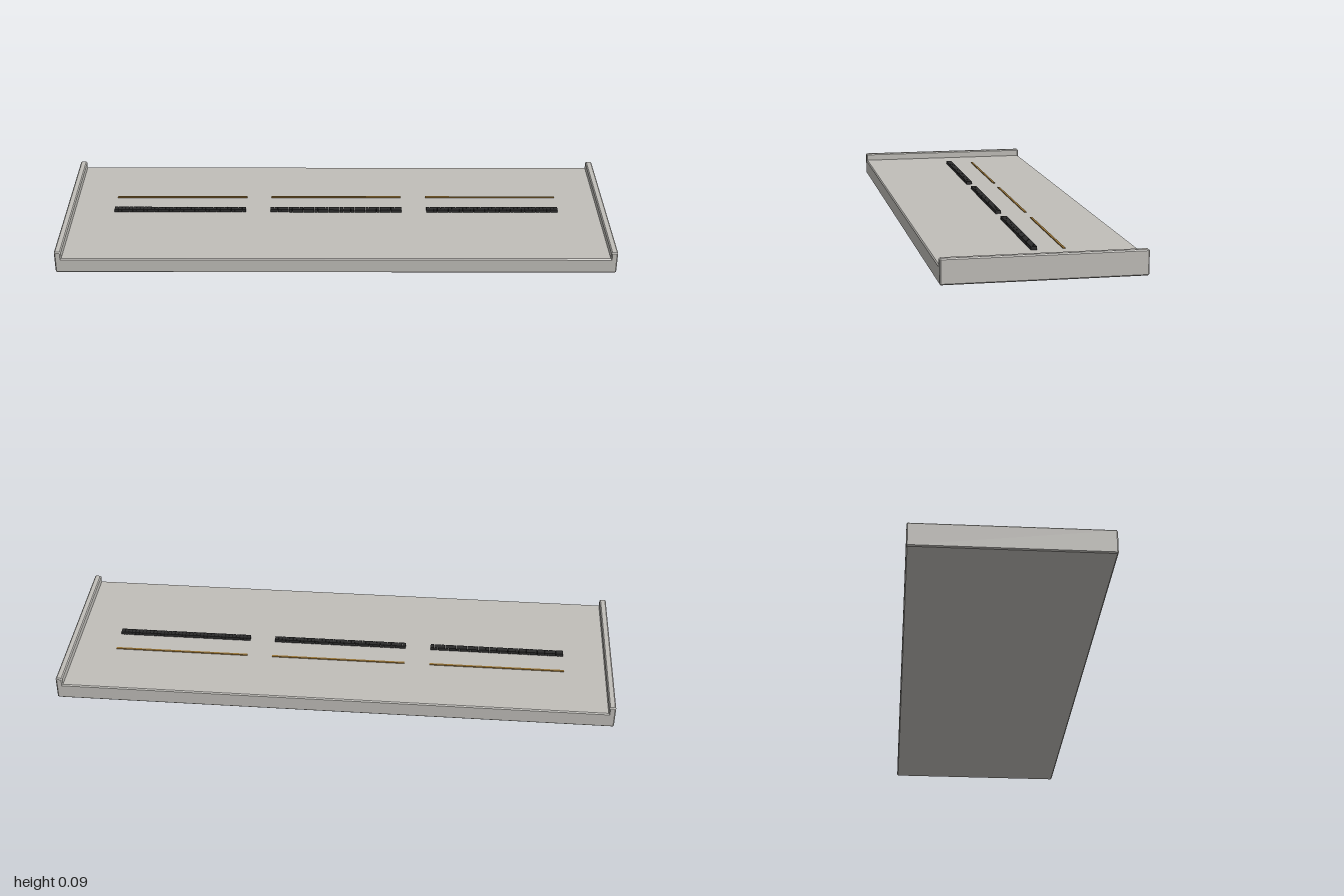
import * as THREE from 'three';

const mat = (name, color) => {
  const m = new THREE.MeshStandardMaterial({ color });
  m.name = name;
  return m;
};

export function createModel() {
  const group = new THREE.Group();
  const grey = mat('warm grey', 0xc0beb9);
  const black = mat('charcoal', 0x2b2b2b);
  const brass = mat('brass', 0x9a7638);

  const deckY = 0.058, topY = 0.085, railX = 0.976, c = 0.004, depth = 0.67;

  // Tray: deck and raised end rails as one profile, with chamfered corners
  const right = [
    [1 - c, 0], [1, c], [1, topY - c], [1 - c, topY],
    [railX + c, topY], [railX, topY - c], [railX, deckY],
  ];
  const left = right.map(([x, y]) => [-x, y]).reverse();
  const profile = new THREE.Shape([...right, ...left].map(([x, y]) => new THREE.Vector2(x, y)));
  const trayGeo = new THREE.ExtrudeGeometry(profile, {
    depth: depth - 2 * c, bevelEnabled: true, bevelSize: c, bevelThickness: c,
    bevelOffset: -c, bevelSegments: 1,
  });
  trayGeo.translate(0, 0, -depth / 2 + c);
  const tray = new THREE.Mesh(trayGeo, grey);
  tray.name = 'tray';
  group.add(tray);

  // Three bays, each with a ribbed dark strip and a thin brass line behind it
  const length = 0.49, ribs = 36, pitch = length / ribs;
  const ribGeo = new THREE.BoxGeometry(pitch * 0.94, 0.012, 0.021);
  const lineGeo = new THREE.BoxGeometry(length, 0.004, 0.008);
  for (const x of [-0.582, 0, 0.582]) {
    const strip = new THREE.Group();
    strip.name = 'ribbedStrip';
    for (let i = 0; i < ribs; i++) {
      const rib = new THREE.Mesh(ribGeo, black);
      rib.name = 'rib';
      rib.position.set(x - length / 2 + (i + 0.5) * pitch, deckY + 0.005, 0);
      strip.add(rib);
    }
    const line = new THREE.Mesh(lineGeo, brass);
    line.name = 'brassLine';
    line.position.set(x, deckY + 0.001, -0.1);
    group.add(strip, line);
  }
  return group;
}
